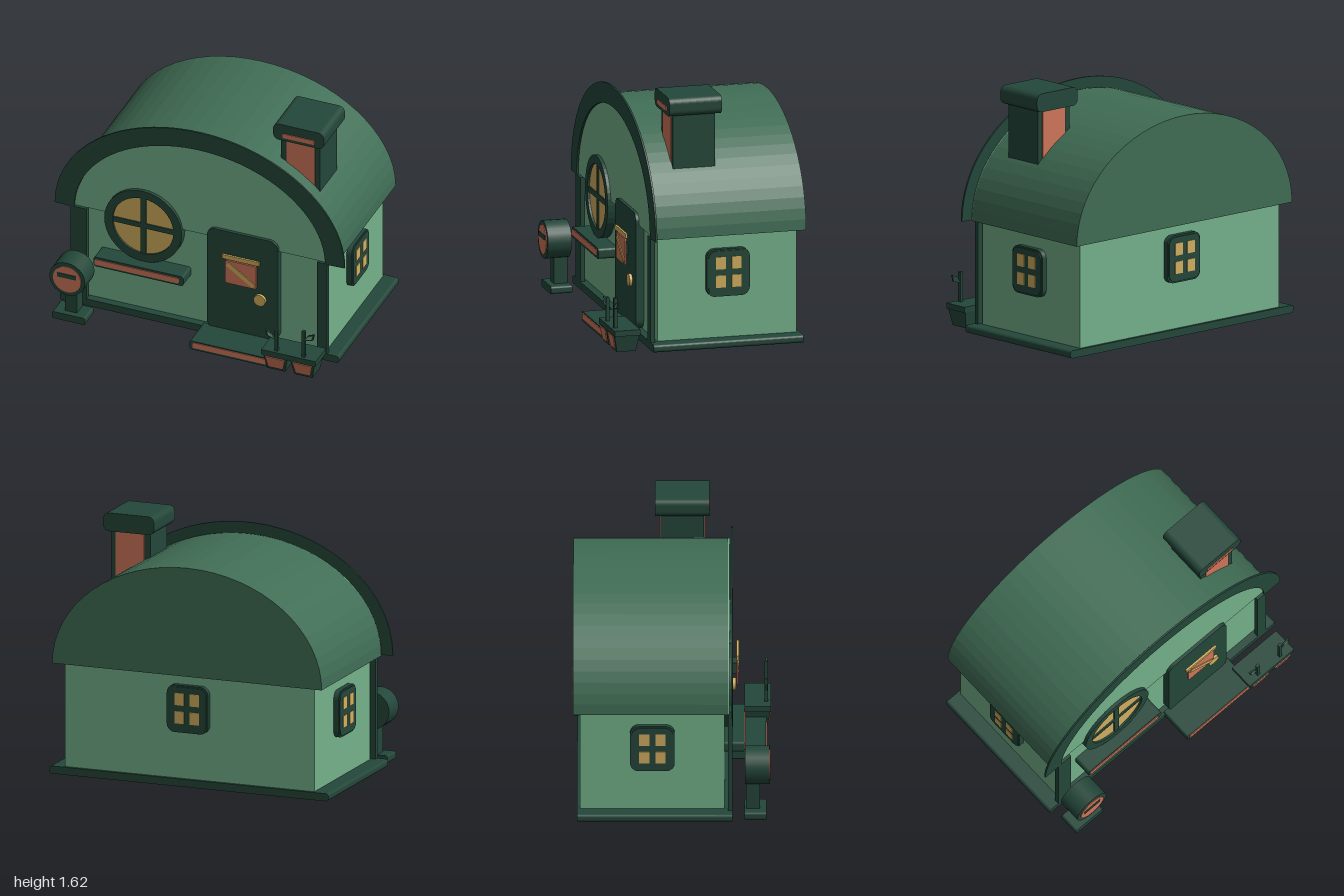
import * as THREE from 'three';

const mat = (name, color) => {
  const m = new THREE.MeshStandardMaterial({ color });
  m.name = name;
  return m;
};

export function createModel() {
  const dark = mat('dark green trim', 0x24473a);
  const roofGreen = mat('roof green', 0x406d55);
  const wallGreen = mat('wall green', 0x74b28b);
  const clay = mat('terracotta', 0xd0765a);
  const gold = mat('warm yellow', 0xd4b060);

  const root = new THREE.Group();
  root.name = 'cottage';

  const add = (parent, name, geo, material, x = 0, y = 0, z = 0) => {
    const m = new THREE.Mesh(geo, material);
    m.name = name;
    m.position.set(x, y, z);
    parent.add(m);
    return m;
  };
  // Box given by its lower and upper limits
  const box = (parent, name, material, x0, x1, y0, y1, z0, z1) =>
    add(parent, name, new THREE.BoxGeometry(x1 - x0, y1 - y0, z1 - z0), material,
      (x0 + x1) / 2, (y0 + y1) / 2, (z0 + z1) / 2);

  const extrude = (shape, depth, curveSegments = 16) =>
    new THREE.ExtrudeGeometry(shape, { depth, curveSegments, bevelEnabled: false });

  const roundedRect = (w, h, r) => {
    const s = new THREE.Shape(), a = w / 2 - r, b = h / 2 - r;
    s.absarc(a, b, r, 0, Math.PI / 2);
    s.absarc(-a, b, r, Math.PI / 2, Math.PI);
    s.absarc(-a, -b, r, Math.PI, Math.PI * 1.5);
    s.absarc(a, -b, r, Math.PI * 1.5, Math.PI * 2);
    s.closePath();
    return s;
  };
  // Rounded slab given by its limits, extruded along z
  const slab = (parent, name, material, x0, x1, y0, y1, z0, z1, r) =>
    add(parent, name, extrude(roundedRect(x1 - x0, y1 - y0, r), z1 - z0, 5), material,
      (x0 + x1) / 2, (y0 + y1) / 2, z0);

  const halfEllipse = (rx, ry) => {
    const s = new THREE.Shape();
    s.absellipse(0, 0, rx, ry, 0, Math.PI, false);
    s.closePath();
    return s;
  };
  const disc = (parent, name, material, r, x, y, z0, z1, sides = 40) => {
    const geo = new THREE.CylinderGeometry(r, r, z1 - z0, sides).rotateX(Math.PI / 2);
    return add(parent, name, geo, material, x, y, (z0 + z1) / 2);
  };

  // Base and walls
  slab(root, 'plinth', dark, -0.965, 0.96, 0, 0.05, -0.605, 0.385, 0.018);
  box(root, 'walls', wallGreen, -0.86, 0.86, 0.03, 0.735, -0.585, 0.335);
  box(root, 'leftPost', dark, 0.81, 0.88, 0.04, 0.735, 0.355, 0.385);
  box(root, 'rightPost', dark, -0.89, -0.78, 0.04, 0.735, 0.355, 0.385);

  // Barrel roof, gable panel and front arch
  add(root, 'roof', extrude(halfEllipse(0.93, 0.713), 0.985), roofGreen, 0, 0.732, -0.63);
  add(root, 'gable', extrude(halfEllipse(0.925, 0.708), 0.01, 24), wallGreen, 0, 0.735, 0.356);
  const arch = new THREE.Shape();
  arch.absellipse(0, 0, 1, 0.78, 0, Math.PI, false);
  arch.absellipse(0, -0.004, 0.865, 0.65, Math.PI, 0, true);
  arch.closePath();
  add(root, 'frontArch', extrude(arch, 0.012, 24), dark, 0, 0.735, 0.374);

  // Chimney with clay panels and a rounded cap
  const chimney = new THREE.Group();
  chimney.name = 'chimney';
  root.add(chimney);
  box(chimney, 'chimneyShaft', dark, 0.485, 0.755, 1.145, 1.5, -0.075, 0.203);
  box(chimney, 'chimneyFrontPanel', clay, 0.525, 0.72, 1.18, 1.497, 0.2, 0.208);
  box(chimney, 'chimneyBackPanel', clay, 0.525, 0.72, 1.18, 1.497, -0.083, -0.074);
  slab(chimney, 'chimneyCap', dark, 0.445, 0.795, 1.495, 1.615, -0.11, 0.236, 0.04);
  slab(chimney, 'chimneyCapStripe', clay, 0.51, 0.73, 1.518, 1.55, 0.234, 0.241, 0.01);

  // Round front window
  const round = new THREE.Group();
  round.name = 'roundWindow';
  round.position.set(-0.39, 0.705, 0);
  root.add(round);
  const ring = new THREE.Shape();
  ring.absarc(0, 0, 0.267, 0, Math.PI * 2);
  const hole = new THREE.Path();
  hole.absarc(0, 0, 0.21, 0, Math.PI * 2, true);
  ring.holes.push(hole);
  add(round, 'windowRing', extrude(ring, 0.055, 20), dark, 0, 0, 0.333);
  disc(round, 'windowPane', gold, 0.213, 0, 0, 0.335, 0.374);
  box(round, 'windowMullion', dark, -0.018, 0.018, -0.21, 0.21, 0.372, 0.382);
  box(round, 'windowTransom', dark, -0.21, 0.21, -0.018, 0.018, 0.372, 0.382);
  slab(root, 'windowSill', dark, -0.7, -0.08, 0.37, 0.44, 0.335, 0.462, 0.018);
  slab(root, 'sillStripe', clay, -0.69, -0.11, 0.385, 0.425, 0.46, 0.467, 0.006);

  // Small four-pane windows on the sides and back
  const smallWindow = (name, x, y, z, turn) => {
    const g = new THREE.Group();
    g.name = name;
    g.position.set(x, y, z);
    g.rotation.y = turn;
    root.add(g);
    slab(g, 'windowFrame', dark, -0.142, 0.142, -0.155, 0.155, 0, 0.034, 0.055);
    slab(g, 'windowFrameFace', dark, -0.132, 0.132, -0.145, 0.145, 0.034, 0.042, 0.05);
    for (const sx of [-1, 1]) for (const sy of [-1, 1]) {
      add(g, 'smallPane', new THREE.BoxGeometry(0.064, 0.08, 0.006), gold,
        sx * 0.052, 0.005 + sy * 0.06, 0.043);
    }
  };
  smallWindow('leftWindow', 0.86, 0.48, -0.125, Math.PI / 2);
  smallWindow('rightWindow', -0.86, 0.48, -0.125, -Math.PI / 2);
  smallWindow('backWindow', 0, 0.515, -0.59, Math.PI);

  // Door with sign, knob and step
  const door = new THREE.Group();
  door.name = 'door';
  root.add(door);
  slab(door, 'doorPanel', dark, 0.05, 0.54, 0.05, 0.812, 0.335, 0.387, 0.06);
  box(door, 'signMount', dark, 0.25, 0.35, 0.5, 0.57, 0.385, 0.412);
  slab(door, 'doorSign', clay, 0.19, 0.405, 0.443, 0.615, 0.41, 0.42, 0.012);
  box(door, 'signRail', gold, 0.17, 0.425, 0.625, 0.656, 0.41, 0.424);
  const stripe = add(door, 'signStripe', new THREE.BoxGeometry(0.22, 0.032, 0.006), gold, 0.297, 0.527, 0.422);
  stripe.rotation.z = -0.61;
  disc(door, 'doorKnob', gold, 0.041, 0.42, 0.352, 0.385, 0.405, 24);
  slab(root, 'doorStep', dark, 0.02, 0.57, 0.002, 0.066, 0.37, 0.598, 0.012);
  slab(root, 'stepStripe', clay, 0.04, 0.545, 0.018, 0.058, 0.597, 0.603, 0.006);

  // Mailbox
  const mailbox = new THREE.Group();
  mailbox.name = 'mailbox';
  mailbox.position.x = -0.815;
  root.add(mailbox);
  slab(mailbox, 'mailboxBase', dark, -0.115, 0.115, 0, 0.05, 0.46, 0.6, 0.015);
  box(mailbox, 'mailboxPost', dark, -0.042, 0.042, 0.04, 0.25, 0.47, 0.56);
  disc(mailbox, 'mailboxBody', dark, 0.123, 0, 0.336, 0.465, 0.622, 24);
  disc(mailbox, 'mailboxFace', clay, 0.096, 0, 0.336, 0.62, 0.627, 32);
  box(mailbox, 'mailSlot', dark, -0.068, 0.063, 0.346, 0.376, 0.625, 0.631);

  // Potted plants: tapered pot, rim, stem and leaf
  const taper = (yBase, wBase, yTop, wTop) => new THREE.Shape([
    new THREE.Vector2(-wBase, yBase), new THREE.Vector2(wBase, yBase),
    new THREE.Vector2(wTop, yTop), new THREE.Vector2(-wTop, yTop)]);
  const plant = (x, height, side) => {
    const g = new THREE.Group();
    g.name = 'pottedPlant';
    g.position.set(x, 0, 0.543);
    root.add(g);
    const pot = new THREE.CylinderGeometry(0.083 * Math.SQRT2, 0.062 * Math.SQRT2, 0.112, 4, 1)
      .rotateY(Math.PI / 4).toNonIndexed();
    pot.computeVertexNormals();
    add(g, 'pot', pot, dark, 0, 0.056, 0);
    box(g, 'potRim', dark, -0.094, 0.094, 0.108, 0.145, -0.085, 0.085);
    const face = add(g, 'potFace', extrude(taper(0.02, 0.05, 0.104, 0.068), 0.006), clay, 0, 0, 0.064);
    face.rotation.x = 0.185;
    box(g, 'stem', dark, -0.011, 0.011, 0.14, height, 0.045, 0.066);
    const leaf = (k) => new THREE.Shape([[0, 0], [0.065, 0.02], [0.075, 0.065], [0.03, 0.045]]
      .map(([u, v]) => new THREE.Vector2(side * (0.037 + (u - 0.037) * k), 0.033 + (v - 0.033) * k)));
    add(g, 'leaf', extrude(leaf(1), 0.012), dark, 0, height - 0.075, 0.05);
    add(g, 'leafFace', extrude(leaf(0.65), 0.003), wallGreen, 0, height - 0.075, 0.061);
  };
  plant(0.62, 0.3, -1);
  plant(0.808, 0.34, 1);

  return root;
}
